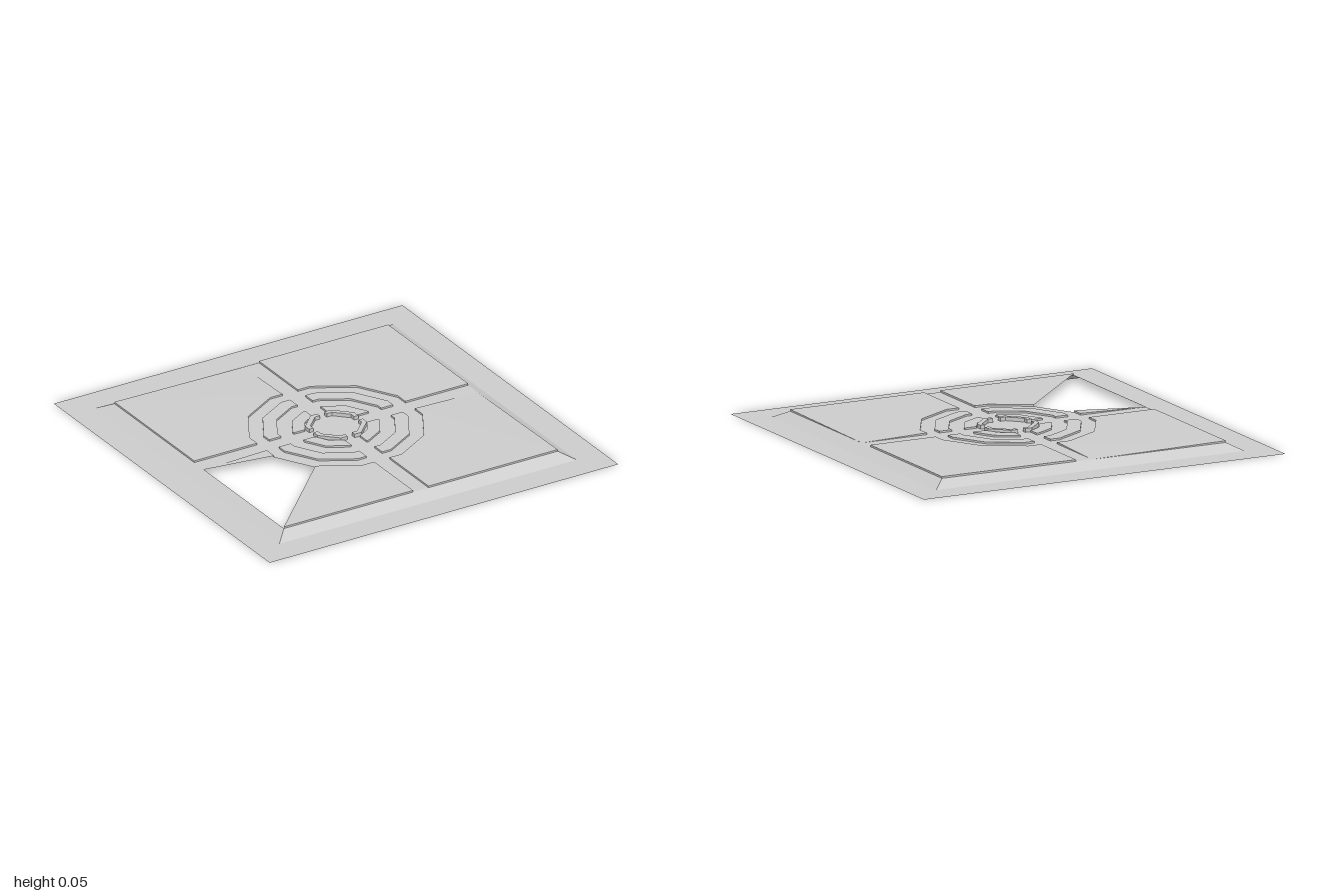
import * as THREE from 'three';

const FLOOR = 0.036, TOP = 0.045, RIM = 0.055; // heights of grooves, plates, hub
const W = 0.044, E = 0.78;                     // half groove width, half platform

const material = new THREE.MeshStandardMaterial({ color: 0xcccccc, flatShading: true, side: THREE.DoubleSide });

// Quarter turns of [x, z] points about the centre
const turn = (pts, k) => pts.map(([x, z]) => {
  for (let i = 0; i < k; i++) [x, z] = [-z, x];
  return [x, z];
});

// One quadrant of a twelve-sided ring with apothem a, cut by the cross grooves
function arc(a) {
  const c = 0.268 * a, d = 0.732 * a;
  return c > W + 0.005
    ? [[a, W], [a, c], [d, d], [c, a], [W, a]]
    : [[a, W], [d, d], [W, a]];
}

function meshFrom(name, positions) {
  const g = new THREE.BufferGeometry();
  g.setAttribute('position', new THREE.Float32BufferAttribute(positions, 3));
  g.computeVertexNormals();
  const m = new THREE.Mesh(g, material);
  m.name = name;
  return m;
}

// Horizontal sheet with holes; y gives the height of each outline point
function sheet(contour, holes, y) {
  const v = (p) => new THREE.Vector2(p[0], p[1]);
  const all = [contour, ...holes].flat();
  const out = [];
  for (const t of THREE.ShapeUtils.triangulateShape(contour.map(v), holes.map((h) => h.map(v)))) {
    const [a, b, c] = t.map((i) => all[i]);
    const area = (b[0] - a[0]) * (c[1] - a[1]) - (b[1] - a[1]) * (c[0] - a[0]);
    const order = area > 0 ? [t[0], t[2], t[1]] : t;
    for (const i of order) out.push(all[i][0], y(i), all[i][1]);
  }
  return out;
}

// Raised pad: a top sheet and walls down to the groove floor, open below
function pad(name, contour, top, low = -1, openEdges = []) {
  const y = (i) => (i === low ? FLOOR : top);
  const out = sheet(contour, [], y);
  contour.forEach(([x, z], i) => {
    if (openEdges.includes(i)) return;
    const j = (i + 1) % contour.length, [u, w] = contour[j];
    out.push(x, FLOOR, z, x, y(i), z, u, y(j), w);
    out.push(x, FLOOR, z, u, y(j), w, u, FLOOR, w);
  });
  return meshFrom(name, out);
}

const square = (s) => [[s, s], [-s, s], [-s, -s], [s, -s]];

export function createModel() {
  const group = new THREE.Group();

  // Flat border and sloping bevel
  group.add(meshFrom('border', sheet(square(0.993), [square(0.847)], () => 0)));
  const bevel = [], outer = square(0.847), inner = square(E);
  for (let i = 0; i < 4; i++) {
    const j = (i + 1) % 4;
    const [a, b, c, d] = [[outer[i], 0], [outer[j], 0], [inner[j], FLOOR], [inner[i], FLOOR]];
    for (const [[x, z], y] of [a, c, b, a, d, c]) bevel.push(x, y, z);
  }
  group.add(meshFrom('bevel', bevel));

  // Outlines of one quadrant
  const edge = [[E, W], ...arc(0.422), [W, E]];
  const strip = (a, b) => [...arc(a), ...arc(b).reverse()];
  const strips = [strip(0.353, 0.285), strip(0.212, 0.15)];
  const hub = [[0.14, 0.02], [0.14, 0.058], [0.058, 0.14], [0.02, 0.14],
    [0.02, 0.116], [0.048, 0.116], [0.116, 0.048], [0.116, 0.02]];

  const cross = [], holes = [];
  for (let k = 0; k < 4; k++) {
    cross.push(...turn(edge, k));
    for (const s of strips) {
      holes.push(turn(s, k));
      group.add(pad('ringStrip', turn(s, k), TOP));
    }
    holes.push(turn(hub, k));
    group.add(pad('hubSegment', turn(hub, k), RIM));

    // Corner plates, the front right one broken open
    if (k === 1) {
      const p = turn([...edge, [E, E]], 1); // last inner point is the outer end of the groove
      group.add(pad('brokenPlateSliver', [p[6], p[5], p[4]], TOP, 0, [2]));
      group.add(pad('brokenPlate', [p[0], p[1], p[2], p[3], p[7]], TOP, -1, [3]));
    } else {
      group.add(pad('cornerPlate', turn([...edge, [E, E]], k), TOP, { 0: 0, 2: 6 }[k] ?? -1));
    }
  }

  // Groove floor: the cross and rings between the pads
  group.add(meshFrom('grooveFloor', sheet(cross, holes, () => FLOOR)));

  group.rotation.y = -0.006;
  const root = new THREE.Group();
  root.name = 'floorPlatform';
  root.add(group);
  return root;
}
